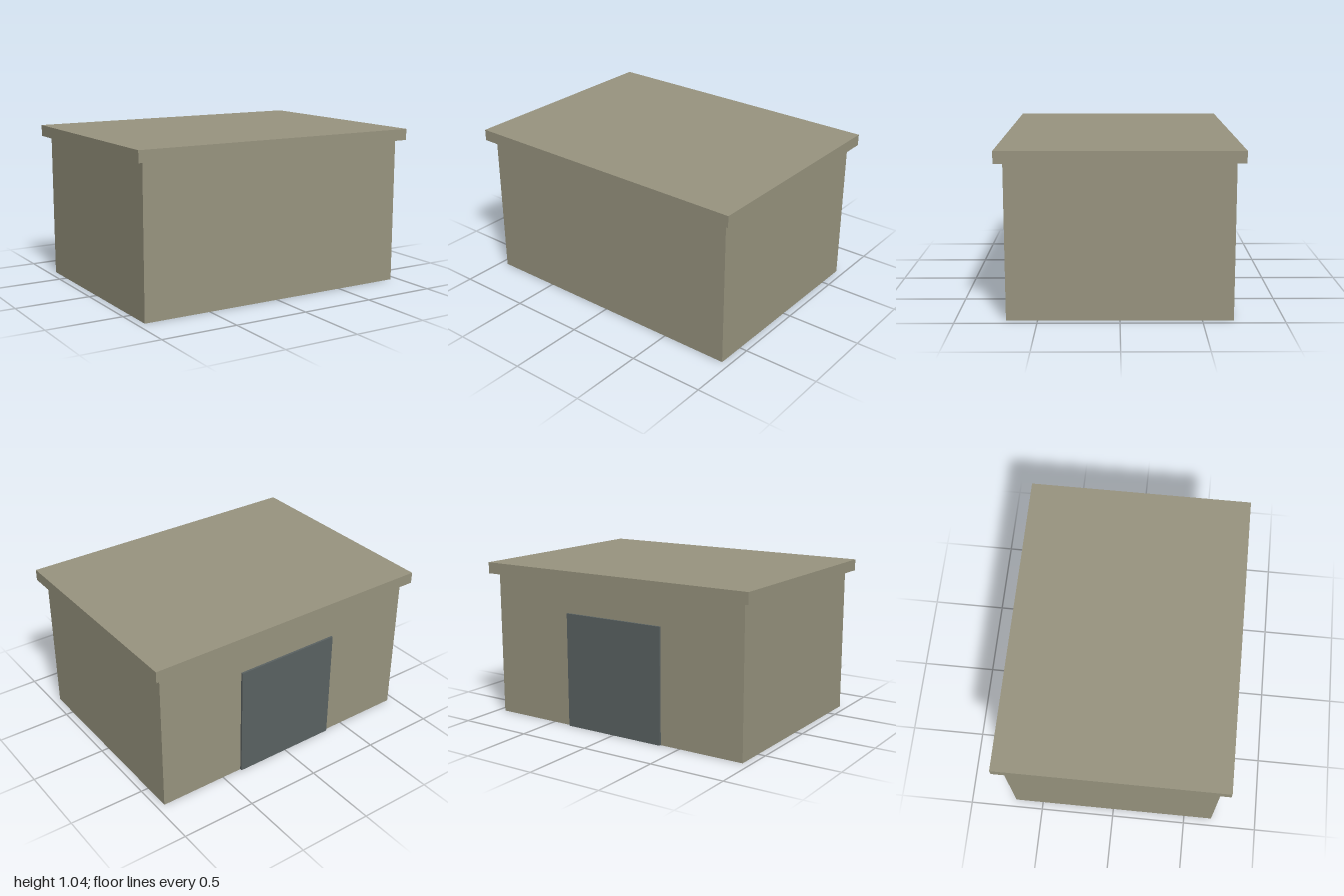
import * as THREE from 'three';

export function createModel() {
  const model = new THREE.Group();
  model.name = 'shed';

  const concrete = new THREE.MeshStandardMaterial({ color: 0x98947f });
  concrete.name = 'concrete';
  const metal = new THREE.MeshStandardMaterial({ color: 0x5a6262 });
  metal.name = 'doorMetal';

  // Box given by its size, the height of its base and its z centre
  function block(name, material, width, height, depth, base, z = 0) {
    const mesh = new THREE.Mesh(new THREE.BoxGeometry(width, height, depth), material);
    mesh.name = name;
    mesh.position.set(0, base + height / 2, z);
    model.add(mesh);
  }

  // Walls and the overhanging flat roof slab
  block('walls', concrete, 1.9, 0.97, 1.382, 0);
  block('roof', concrete, 2, 0.075, 1.484, 0.97);

  // Door panel standing slightly proud of the back wall
  block('door', metal, 0.725, 0.76, 0.03, 0, -0.69);

  return model;
}
